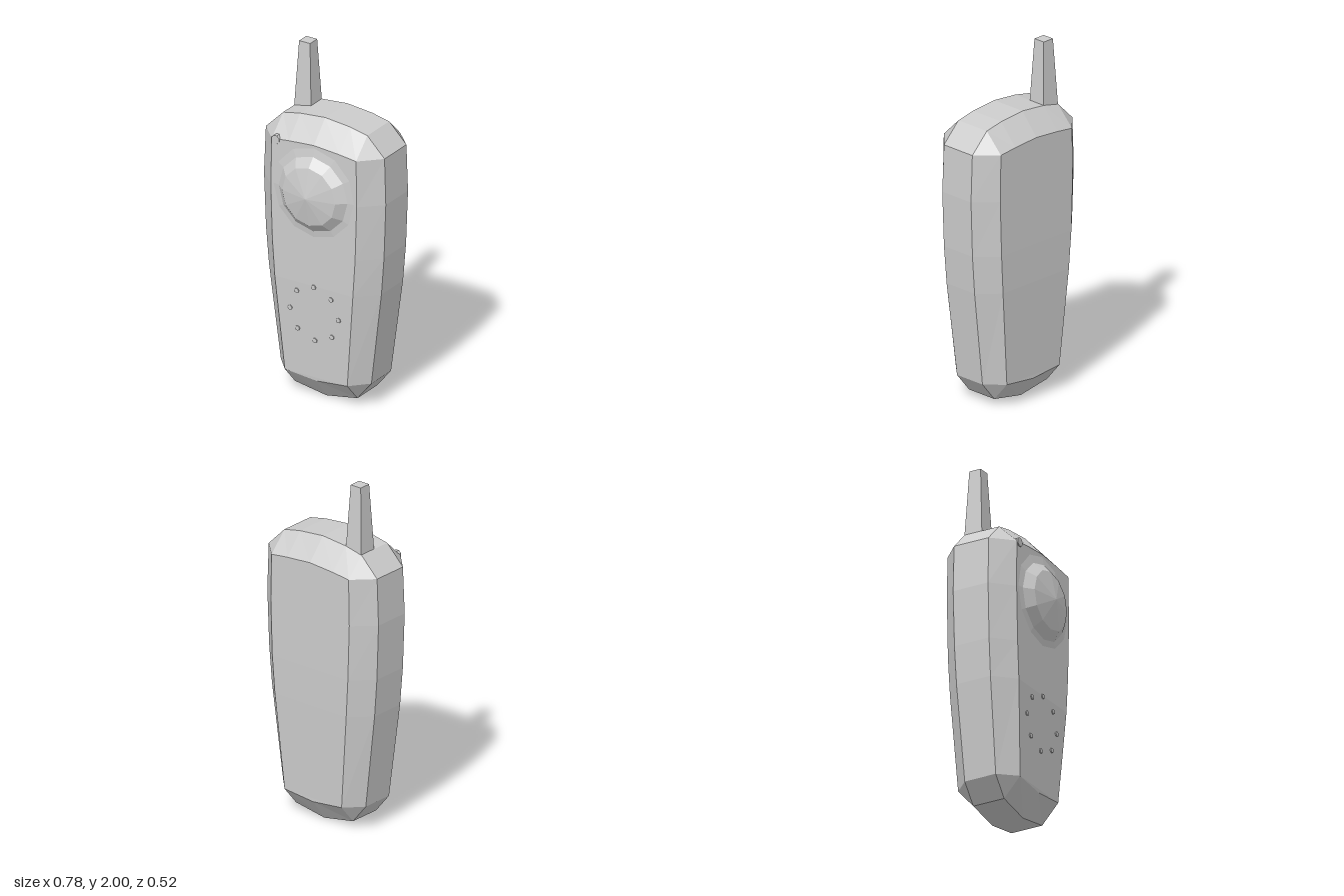
import * as THREE from 'three';

const material = new THREE.MeshStandardMaterial({ color: 0xcccccc, flatShading: true });

function addPart(group, name, geometry, x = 0, y = 0, z = 0) {
  const mesh = new THREE.Mesh(geometry, material);
  mesh.name = name;
  mesh.position.set(x, y, z);
  group.add(mesh);
  return mesh;
}

// Half outline from bottom centre to top centre:
// rim x, rim y, face x, face y, face front z, face back z, rim front z, rim back z
const HALF = [
  [0, 0.005, 0, 0.13, 0.15, -0.235, 0.05, -0.14],
  [0.2, 0.04, 0.2, 0.15, 0.152, -0.235, 0.052, -0.14],
  [0.29, 0.15, 0.2, 0.15, 0.152, -0.235, 0.053, -0.14],
  [0.36, 0.7, 0.25, 0.7, 0.174, -0.256, 0.062, -0.15],
  [0.378, 0.92, 0.265, 0.92, 0.175, -0.26, 0.064, -0.152],
  [0.39, 1.24, 0.275, 1.24, 0.175, -0.26, 0.065, -0.153],
  [0.38, 1.51, 0.27, 1.51, 0.173, -0.26, 0.062, -0.153],
  [0.27, 1.62, 0.27, 1.51, 0.173, -0.26, 0.062, -0.153],
  [0.16, 1.643, 0.16, 1.523, 0.173, -0.26, 0.062, -0.153],
  [0, 1.658, 0, 1.535, 0.173, -0.26, 0.062, -0.153],
];

// Chamfered shell: four loops joined by bands, closed by mirrored strips
function bodyGeometry() {
  const mirrored = HALF.slice(1, -1).reverse().map((r) => r.map((v, k) => (k === 0 || k === 2 ? -v : v)));
  const ring = [...HALF, ...mirrored];
  const n = ring.length;
  const positions = [];
  for (const r of ring) positions.push(r[2], r[3], r[4]);
  for (const r of ring) positions.push(r[0], r[1], r[6]);
  for (const r of ring) positions.push(r[0], r[1], r[7]);
  for (const r of ring) positions.push(r[2], r[3], r[5]);

  const index = [];
  const quad = (a, b, c, d) => index.push(a, b, c, a, c, d);
  for (let band = 0; band < 3; band++) {
    for (let i = 0; i < n; i++) {
      const j = (i + 1) % n;
      quad(band * n + i, (band + 1) * n + i, (band + 1) * n + j, band * n + j);
    }
  }
  const back = 3 * n;
  for (let i = 0; i < HALF.length - 1; i++) {
    const l0 = (n - i) % n, l1 = n - i - 1;
    quad(i, i + 1, l1, l0);
    quad(back + l0, back + l1, back + i + 1, back + i);
  }
  const geometry = new THREE.BufferGeometry();
  geometry.setAttribute('position', new THREE.Float32BufferAttribute(positions, 3));
  geometry.setIndex(index);
  // drop the collapsed triangles at the corners
  const flat = geometry.toNonIndexed();
  const p = flat.attributes.position, kept = [];
  const t = new THREE.Triangle();
  for (let i = 0; i < p.count; i += 3) {
    t.setFromAttributeAndIndices(p, i, i + 1, i + 2);
    if (t.getArea() > 1e-7) for (const v of [t.a, t.b, t.c]) kept.push(v.x, v.y, v.z);
  }
  const clean = new THREE.BufferGeometry();
  clean.setAttribute('position', new THREE.Float32BufferAttribute(kept, 3));
  clean.computeVertexNormals();
  return clean;
}

export function createModel() {
  const model = new THREE.Group();
  model.name = 'handset';

  addPart(model, 'body', bodyGeometry());

  // Tapered square antenna
  const antenna = new THREE.CylinderGeometry(0.035 * Math.SQRT2, 0.055 * Math.SQRT2, 0.4, 4);
  antenna.rotateY(Math.PI / 4);
  addPart(model, 'antenna', antenna, -0.215, 1.8, -0.1);

  // Faceted dome with a shallow flared skirt
  const profile = [[0.275, 0.172], [0.22, 0.181], [0.17, 0.225], [0, 0.26]];
  const dome = new THREE.LatheGeometry(profile.map(([r, h]) => new THREE.Vector2(r, h)), 12);
  dome.rotateX(Math.PI / 2);
  addPart(model, 'speakerDome', dome, 0, 1.25, 0);

  // Small button in the upper corner of the face
  const button = new THREE.CylinderGeometry(0.026, 0.026, 0.05, 8);
  button.rotateX(Math.PI / 2);
  button.rotateZ(Math.PI / 8);
  addPart(model, 'cornerButton', button, -0.244, 1.51, 0.154);

  // Ring of tiny studs on the lower face
  const studs = new THREE.Group();
  studs.name = 'microphoneStuds';
  const stud = new THREE.CylinderGeometry(0.014, 0.014, 0.02, 8);
  stud.rotateX(Math.PI / 2);
  for (let i = 0; i < 8; i++) {
    const a = (i / 8) * Math.PI * 2;
    const y = 0.535 + 0.16 * Math.sin(a);
    const faceZ = 0.152 + (y - 0.15) * 0.04;
    addPart(studs, 'stud', stud, 0.155 * Math.cos(a), y, faceZ - 0.004);
  }
  model.add(studs);

  return model;
}
